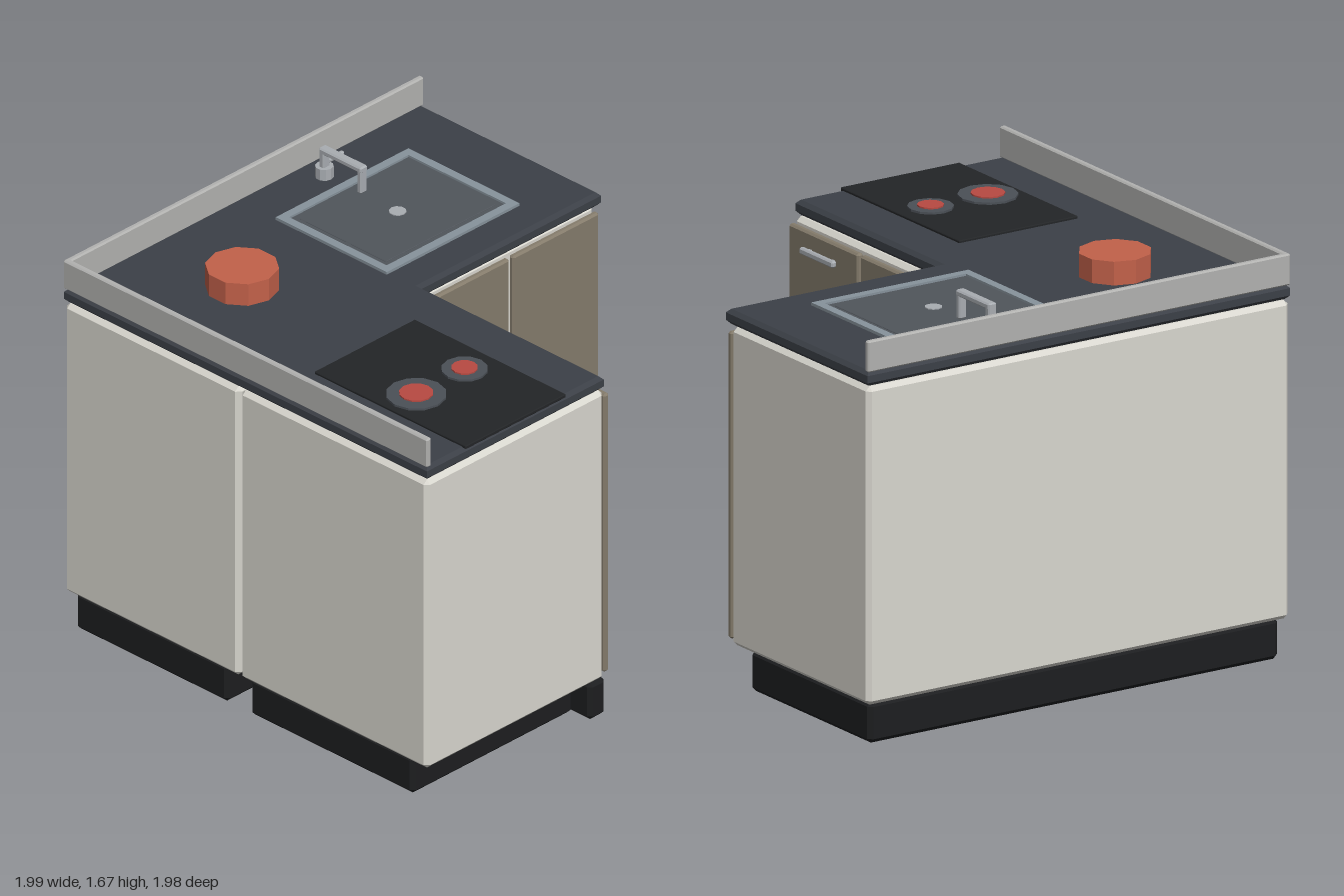
import * as THREE from 'three';
import { ConvexGeometry } from 'three/addons/geometries/ConvexGeometry.js';

const mat = (color) => new THREE.MeshStandardMaterial({ color, flatShading: true });

const carcassMat = mat(0xd9d7cf);
const doorMat = mat(0x857c6c);
const plinthMat = mat(0x1d1e20);
const counterMat = mat(0x3c4047);
const splashMat = mat(0xb2b2b0);
const metalMat = mat(0xa9adb2);
const hobMat = mat(0x232527);
const burnerMat = mat(0x4b5057);
const redMat = mat(0xb84a42);
const potMat = mat(0xc2614a);
const rimMat = mat(0x87939c);
const basinMat = mat(0x50555b);

export function createModel() {
  const root = new THREE.Group();
  root.name = 'cornerKitchen';

  function add(name, geometry, material, parent = root) {
    const mesh = new THREE.Mesh(geometry, material);
    mesh.name = name;
    parent.add(mesh);
    return mesh;
  }

  // Box with chamfered edges, given by its extents on each axis
  function block(name, [x0, x1], [y0, y1], [z0, z1], c, material, parent) {
    const half = [(x1 - x0) / 2, (y1 - y0) / 2, (z1 - z0) / 2];
    const points = [];
    for (const sx of [-1, 1]) for (const sy of [-1, 1]) for (const sz of [-1, 1]) {
      for (let axis = 0; axis < 3; axis++) {
        const p = half.map((h, i) => (i === axis ? h : h - c));
        points.push(new THREE.Vector3(p[0] * sx, p[1] * sy, p[2] * sz));
      }
    }
    const mesh = add(name, new ConvexGeometry(points), material, parent);
    mesh.position.set((x0 + x1) / 2, (y0 + y1) / 2, (z0 + z1) / 2);
    return mesh;
  }

  function disc(name, x, z, r, [y0, y1], sides, material, parent) {
    const mesh = add(name, new THREE.CylinderGeometry(r, r, y1 - y0, sides), material, parent);
    mesh.position.set(x, (y0 + y1) / 2, z);
    return mesh;
  }

  // Plinths, with a separate kick board under the side doors
  block('backPlinth', [-0.965, 0.965], [0, 0.168], [-0.96, -0.13], 0.018, plinthMat);
  block('sidePlinth', [-0.965, -0.07], [0, 0.168], [-0.01, 0.88], 0.018, plinthMat);
  block('kickBoard', [-0.08, 0.012], [0, 0.168], [-0.01, 0.98], 0.018, plinthMat);

  // Cabinet bodies
  block('backCabinet', [-0.995, 0.992], [0.168, 1.47], [-0.99, -0.04], 0.018, carcassMat);
  block('sideCabinet', [-0.995, -0.003], [0.168, 1.47], [-0.035, 0.985], 0.018, carcassMat);

  // Doors with bar handles
  [[0.012, 0.49, 0.415], [0.51, 0.99, 0.582]].forEach(([x0, x1, hx]) => {
    const door = new THREE.Group();
    door.name = 'backDoor';
    root.add(door);
    block('doorPanel', [x0, x1], [0.19, 1.445], [-0.04, -0.012], 0.008, doorMat, door);
    block('handle', [hx - 0.014, hx + 0.014], [0.64, 1.0], [0.004, 0.027], 0.006, metalMat, door);
    for (const y of [0.68, 0.96])
      block('handlePost', [hx - 0.008, hx + 0.008], [y - 0.01, y + 0.01], [-0.015, 0.01], 0.002, metalMat, door);
  });
  [[0.01, 0.487, 0.25], [0.503, 0.982, 0.747]].forEach(([z0, z1, hz]) => {
    const door = new THREE.Group();
    door.name = 'sideDoor';
    root.add(door);
    block('doorPanel', [-0.003, 0.027], [0.19, 1.445], [z0, z1], 0.008, doorMat, door);
    block('handle', [0.036, 0.06], [1.358, 1.385], [hz - 0.115, hz + 0.115], 0.006, metalMat, door);
    for (const s of [-0.08, 0.08])
      block('handlePost', [0.02, 0.042], [1.364, 1.379], [hz + s - 0.01, hz + s + 0.01], 0.002, metalMat, door);
  });

  // L-shaped worktop with bevelled edges (shape y is minus z)
  const b = 0.016;
  const outline = [
    [-0.995 + b, -0.985 + b], [-0.008 - b, -0.985 + b], [-0.008 - b, 0.008 + b],
    [0.995 - b, 0.008 + b], [0.995 - b, 0.99 - b], [-0.995 + b, 0.99 - b],
  ].map(([x, y]) => new THREE.Vector2(x, y));
  const top = new THREE.ExtrudeGeometry(new THREE.Shape(outline), {
    depth: 0.062 - 2 * b, bevelEnabled: true, bevelSize: b, bevelThickness: b, bevelSegments: 1,
  });
  top.rotateX(-Math.PI / 2);
  add('worktop', top, counterMat).position.y = 1.474 + b;

  // Upstands along the two walls
  block('backUpstand', [-0.995, 0.995], [1.534, 1.662], [-0.995, -0.97], 0.006, splashMat);
  block('sideUpstand', [-0.995, -0.968], [1.534, 1.662], [-0.99, 0.985], 0.006, splashMat);

  // Hob with two rings
  const hob = new THREE.Group();
  hob.name = 'hob';
  root.add(hob);
  block('hobPlate', [-0.782, -0.222], [1.53, 1.546], [0.165, 0.988], 0.003, hobMat, hob);
  for (const [x, r, inner] of [[-0.637, 0.12, 0.068], [-0.367, 0.092, 0.053]]) {
    disc('burnerRing', x, 0.577, r, [1.54, 1.555], 12, burnerMat, hob);
    disc('burnerCentre', x, 0.577, inner, [1.55, 1.561], 12, redMat, hob);
  }

  // Pot
  disc('pot', -0.503, -0.5, 0.146, [1.534, 1.633], 10, potMat);

  // Sink: raised rim, shallow basin, drain
  const sink = new THREE.Group();
  sink.name = 'sink';
  sink.position.set(0.328, 0, -0.465);
  root.add(sink);
  const rect = (T, w, d) => {
    const p = [[-w, -d], [w, -d], [w, d], [-w, d]].map(([x, y]) => new THREE.Vector2(x / 2, y / 2));
    return new T(p);
  };
  const rim = rect(THREE.Shape, 0.74, 0.604);
  rim.holes.push(rect(THREE.Path, 0.665, 0.53));
  const rimGeo = new THREE.ExtrudeGeometry(rim, { depth: 0.014, bevelEnabled: false });
  rimGeo.rotateX(-Math.PI / 2);
  add('sinkRim', rimGeo, rimMat, sink).position.y = 1.534;
  block('sinkBasin', [-0.34, 0.34], [1.53, 1.539], [-0.272, 0.272], 0.002, basinMat, sink);
  block('basinFloor', [-0.305, 0.305], [1.532, 1.542], [-0.235, 0.235], 0.002, basinMat, sink);
  disc('drain', 0, 0, 0.035, [1.535, 1.546], 10, metalMat, sink);

  // Tap with squared spout and side lever
  const tap = new THREE.Group();
  tap.name = 'tap';
  tap.position.set(0.33, 0, -0.865);
  root.add(tap);
  disc('tapBase', 0, 0, 0.037, [1.534, 1.585], 10, metalMat, tap);
  block('tapPost', [-0.019, 0.019], [1.56, 1.668], [-0.014, 0.014], 0.005, metalMat, tap);
  block('tapSpout', [-0.02, 0.02], [1.642, 1.668], [-0.014, 0.217], 0.006, metalMat, tap);
  block('tapNozzle', [-0.018, 0.018], [1.55, 1.66], [0.192, 0.216], 0.005, metalMat, tap);
  block('tapLever', [0.01, 0.105], [1.59, 1.609], [-0.01, 0.01], 0.005, metalMat, tap);

  return root;
}
